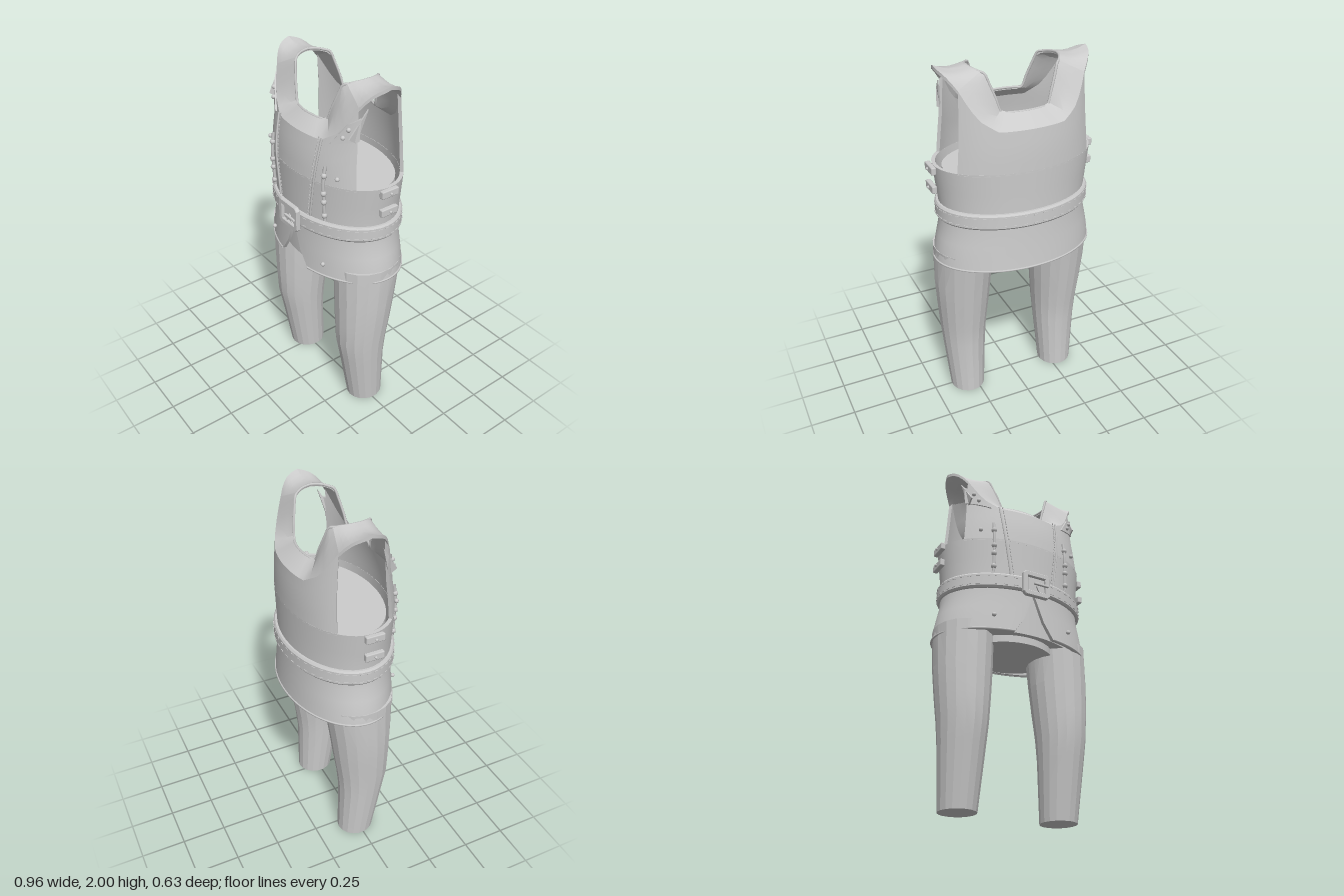
import * as THREE from 'three';
import { mergeGeometries, toCreasedNormals } from 'three/addons/utils/BufferGeometryUtils.js';
import { RoundedBoxGeometry } from 'three/addons/geometries/RoundedBoxGeometry.js';

const V = (x, y, z) => new THREE.Vector3(x, y, z);
const rad = THREE.MathUtils.degToRad;
const ZC = -0.018;

// linear lookup in rows of [key, value, ...]
function look(table, k, c = 1) {
  for (let i = 1; i < table.length; i++) {
    const p = table[i - 1], q = table[i];
    if (k <= q[0]) return THREE.MathUtils.lerp(p[c], q[c], THREE.MathUtils.clamp((k - p[0]) / (q[0] - p[0]), 0, 1));
  }
  return table[table.length - 1][c];
}

// vest outline: height, half width, front depth, back depth
const BODY = [
  [0.92, 0.457, 0.292, 0.293], [1.0, 0.449, 0.288, 0.286], [1.15, 0.415, 0.281, 0.276],
  [1.25, 0.415, 0.281, 0.273], [1.48, 0.443, 0.284, 0.275], [1.6, 0.428, 0.272, 0.272],
  [1.72, 0.418, 0.248, 0.262], [1.9, 0.41, 0.235, 0.238], [2.0, 0.42, 0.235, 0.235]];
const YOKE_Y = [[0, 1.7], [25, 1.7], [40, 1.76], [57, 1.9], [65, 1.95], [75, 1.98], [90, 2.0]];
const NECK_Y = [[0, 1.77], [31, 1.77], [40, 1.87], [52, 1.965], [70, 1.98], [90, 1.985]];
const fold = (t) => { const d = Math.abs(((t % 360) + 360) % 360 - 180); return d > 90 ? 180 - d : d; };

// point on the vest at angle t (degrees, 0 = front) and height y
function bodyPt(t, y, off = 0) {
  const s = Math.sin(rad(t)), c = Math.cos(rad(t));
  return V(s * (look(BODY, y, 1) + off), y, ZC + c * (look(BODY, y, c > 0 ? 2 : 3) + off));
}
// point on the front of the vest at given x, y
const onFront = (x, y, off = 0) => bodyPt(THREE.MathUtils.radToDeg(Math.asin(x / look(BODY, y, 1))), y, off);
function neckPt(t, drop = 0) {
  return V(0.25 * Math.sin(rad(t)), look(NECK_Y, fold(t)) - drop, ZC + 0.176 * Math.cos(rad(t)));
}

const mat = new THREE.MeshStandardMaterial({ color: 0xcccccc, side: THREE.DoubleSide });
function mesh(parent, name, geo) {
  const m = new THREE.Mesh(geo, mat);
  m.name = name;
  parent.add(m);
  return m;
}

// closed slab between an outer and an inner grid surface
function slab(nu, nv, f) {
  const pos = [];
  const quad = (a, b, c, d) => [a, b, c, a, c, d].forEach((p) => pos.push(p.x, p.y, p.z));
  const O = (i, j) => f(i, j, false), I = (i, j) => f(i, j, true);
  for (let i = 0; i < nu; i++) for (let j = 0; j < nv; j++) {
    quad(O(i, j), O(i + 1, j), O(i + 1, j + 1), O(i, j + 1));
    quad(I(i, j), I(i, j + 1), I(i + 1, j + 1), I(i + 1, j));
  }
  for (let i = 0; i < nu; i++) {
    quad(I(i, 0), I(i + 1, 0), O(i + 1, 0), O(i, 0));
    quad(O(i, nv), O(i + 1, nv), I(i + 1, nv), I(i, nv));
  }
  for (let j = 0; j < nv; j++) {
    quad(I(0, j), O(0, j), O(0, j + 1), I(0, j + 1));
    quad(O(nu, j), I(nu, j), I(nu, j + 1), O(nu, j + 1));
  }
  const g = new THREE.BufferGeometry();
  g.setAttribute('position', new THREE.Float32BufferAttribute(pos, 3));
  return toCreasedNormals(g, 0.4);
}

const tube = (pts, r, closed = false) =>
  new THREE.TubeGeometry(new THREE.CatmullRomCurve3(pts, closed), pts.length * 3, r, 6, closed);
const ring = (n, f) => Array.from({ length: n }, (_, i) => f(i * 360 / n));
const ellipseCyl = (rx, rz, y0, y1) =>
  new THREE.CylinderGeometry(1, 1, y1 - y0, 48).scale(rx, 1, rz).translate(0, (y0 + y1) / 2, ZC);

// leg section: height, inner x, outer x, front z, back z
const LEG = [[0, 0.195, 0.395, 0.095, -0.115], [0.33, 0.172, 0.422, 0.152, -0.11], [0.45, 0.163, 0.432, 0.175, -0.122],
  [0.6, 0.15, 0.445, 0.18, -0.145], [0.75, 0.139, 0.455, 0.182, -0.165], [0.98, 0.13, 0.456, 0.185, -0.2]];
function legGeometry() {
  const n = 18, pos = [], idx = [];
  for (const [y, x0, x1, z1, z0] of LEG) for (let i = 0; i < n; i++) {
    const t = i / n * Math.PI * 2;
    pos.push((x0 + x1) / 2 + (x1 - x0) / 2 * Math.sin(t), y, (z0 + z1) / 2 + (z1 - z0) / 2 * Math.cos(t));
  }
  for (let j = 0; j < LEG.length - 1; j++) for (let i = 0; i < n; i++) {
    const a = j * n + i, b = j * n + (i + 1) % n;
    idx.push(a, b, b + n, a, b + n, a + n);
  }
  const top = (LEG.length - 1) * n;
  for (let i = 1; i < n - 1; i++) idx.push(0, i + 1, i, top, top + i, top + i + 1);
  const g = new THREE.BufferGeometry();
  g.setAttribute('position', new THREE.Float32BufferAttribute(pos, 3));
  g.setIndex(idx);
  return toCreasedNormals(g, 0.3);
}

export function createModel() {
  const root = new THREE.Group();
  root.name = 'vestAndTrousers';

  // trousers and the closed core inside the vest
  for (const s of [1, -1]) {
    const leg = legGeometry();
    if (s < 0) leg.rotateY(Math.PI).scale(1, 1, -1);
    if (s < 0) { // mirrored faces keep their front outside
      const p = leg.attributes.position, q = leg.attributes.normal;
      for (const a of [p, q]) for (let i = 0; i < a.count; i += 3) {
        const u = [a.getX(i), a.getY(i), a.getZ(i)];
        a.setXYZ(i, a.getX(i + 1), a.getY(i + 1), a.getZ(i + 1));
        a.setXYZ(i + 1, ...u);
      }
    }
    mesh(root, s > 0 ? 'leftLeg' : 'rightLeg', leg);
  }
  mesh(root, 'crotch', ellipseCyl(0.25, 0.215, 0.895, 0.95));
  mesh(root, 'innerCore', ellipseCyl(0.39, 0.245, 0.935, 1.45));

  // lower vest with the split hem in front
  const hem = (i) => look([[0, 1.17], [1, 1.01], [2, 0.92], [24, 0.92]], Math.min(i, 48 - i));
  const lowerY = (i, j) => j < 4 ? THREE.MathUtils.lerp(hem(i), 1.2, j / 4) : [1.2, 1.25, 1.36, 1.48][j - 4];
  mesh(root, 'lowerVest', slab(48, 7, (i, j, inn) => bodyPt(i * 7.5, lowerY(i, j), inn ? -0.02 : 0)));
  mesh(root, 'hemTrim', tube(Array.from({ length: 45 }, (_, i) => bodyPt((i + 2) * 7.5, 0.922)), 0.006));

  // front and back panels, folding in towards the neck
  const panel = (mid) => slab(18, 7, (i, j, inn) => {
    const t = mid - 57 + i * 114 / 18, top = look(YOKE_Y, fold(t));
    if (j <= 4) return bodyPt(t, THREE.MathUtils.lerp(1.47, top, j / 4), inn ? -0.018 : 0);
    return bodyPt(t, top, inn ? -0.018 : 0).lerp(neckPt(t, inn ? 0.018 : 0), (j - 4) / 3);
  });
  mesh(root, 'frontPanel', panel(0));
  mesh(root, 'backPanel', panel(180));

  // shoulder straps, slightly hollow across
  for (const mid of [90, -90]) {
    mesh(root, mid > 0 ? 'leftShoulder' : 'rightShoulder', slab(12, 4, (i, j, inn) => {
      const t = mid - 33 + i * 5.5, drop = inn ? 0.018 : 0;
      const p = bodyPt(t, look(YOKE_Y, fold(t))).lerp(neckPt(t), j / 4);
      p.y -= drop + 0.018 * Math.sin(j / 4 * Math.PI) * Math.sin(i / 12 * Math.PI);
      return p;
    }));
  }
  mesh(root, 'neckTrim', tube(ring(48, (t) => neckPt(t, 0.006)), 0.007, true));

  // belt with two rows of stitches
  const beltY = [1.17, 1.18, 1.247, 1.257], beltOff = [0.012, 0.02, 0.02, 0.012];
  mesh(root, 'belt', slab(48, 3, (i, j, inn) => bodyPt(i * 7.5, beltY[j], inn ? -0.005 : beltOff[j])));
  const stitches = [];
  for (const y of [1.19, 1.236]) for (const t of ring(48, (a) => a)) {
    const p = bodyPt(t, y, 0.02), q = bodyPt(t + 1, y, 0.02);
    stitches.push(new THREE.BoxGeometry(0.022, 0.005, 0.006)
      .rotateY(Math.atan2(p.z - q.z, q.x - p.x)).translate(p.x, p.y, p.z));
  }
  mesh(root, 'beltStitches', mergeGeometries(stitches));

  // buckle
  const frame = new THREE.Shape([[-0.065, -0.07], [0.065, -0.07], [0.08, -0.055], [0.08, 0.055], [0.065, 0.07],
    [-0.065, 0.07], [-0.08, 0.055], [-0.08, -0.055]].map((p) => new THREE.Vector2(...p)));
  frame.holes.push(new THREE.Path([[-0.058, -0.047], [-0.058, 0.047], [0.058, 0.047], [0.058, -0.047]].map((p) => new THREE.Vector2(...p))));
  const buckle = new THREE.Group();
  buckle.name = 'buckle';
  buckle.position.set(0, 1.212, 0.28);
  root.add(buckle);
  mesh(buckle, 'buckleFrame', new THREE.ExtrudeGeometry(frame, { depth: 0.018, bevelSize: 0.004, bevelThickness: 0.004, bevelSegments: 1 }));
  mesh(buckle, 'bucklePlate', new THREE.BoxGeometry(0.125, 0.1, 0.012));
  mesh(buckle, 'prong', new RoundedBoxGeometry(0.09, 0.014, 0.014, 1, 0.004)).position.set(0.025, 0, 0.026);
  for (const s of [1, -1]) {
    const bar = mesh(buckle, 'buckleBar', new THREE.BoxGeometry(0.007, 0.05, 0.008));
    bar.position.set(s * 0.012, -0.022, 0.01);
    bar.rotation.z = s * 0.45;
  }

  // fittings repeated on both sides
  for (const s of [1, -1]) {
    const side = new THREE.Group();
    side.name = s > 0 ? 'leftFittings' : 'rightFittings';
    root.add(side);
    for (const y of [1.46, 1.355]) {
      mesh(side, 'sideClasp', new RoundedBoxGeometry(0.028, 0.042, 0.106, 1, 0.006)).position.set(s * 0.454, y, -0.004);
      mesh(side, 'claspStud', new THREE.SphereGeometry(0.008, 8, 6)).position.set(s * 0.472, y, -0.004);
    }
    // piped seam and its stitches down the front
    const seam = [[0.185, 1.71], [0.178, 1.6], [0.168, 1.5], [0.152, 1.38], [0.135, 1.26]];
    mesh(side, 'frontSeam', tube(seam.map(([x, y]) => onFront(s * x, y, 0.003)), 0.006));
    const curve = new THREE.CatmullRomCurve3(seam.map(([x, y]) => onFront(s * (x - 0.018), y, 0.001)));
    mesh(side, 'seamStitches', mergeGeometries(curve.getSpacedPoints(22).map((p) =>
      new THREE.BoxGeometry(0.004, 0.011, 0.006).translate(p.x, p.y, p.z))));
    // lacing rod with knots
    mesh(side, 'lacingRod', tube([1.27, 1.38, 1.48, 1.58].map((y) => onFront(s * 0.225, y, 0.008)), 0.009));
    for (const y of [1.3, 1.38, 1.43, 1.53])
      mesh(side, 'lacingKnot', new THREE.SphereGeometry(0.016, 8, 6)).position.copy(onFront(s * 0.225, y, 0.01));
    for (const [x, y] of [[0.29, 1.53], [0.225, 1.0], [0.29, 1.745], [0.312, 1.79]])
      mesh(side, 'rivet', new THREE.SphereGeometry(0.012, 10, 8)).position.copy(onFront(s * x, y, 0.012));
    // strap end patch on the chest and its loose pointed tip
    mesh(side, 'strapEnd', slab(4, 3, (i, j, inn) => {
      const x = THREE.MathUtils.lerp(0.23 + j * 0.024, 0.355, i / 4);
      return onFront(s * x, 1.695 + i * 0.01 + j * 0.038, inn ? -0.004 : 0.009);
    }));
    mesh(side, 'strapTip', slab(1, 2, (i, j, inn) => V(s * (0.345 + 0.012 * j + (inn ? -0.008 : 0)),
      1.72 + 0.085 * j + (1 - i) * (2 - j) * 0.015, 0.165 - 0.047 * j - (2 - j) * 0.022 * i)));
  }
  return root;
}
